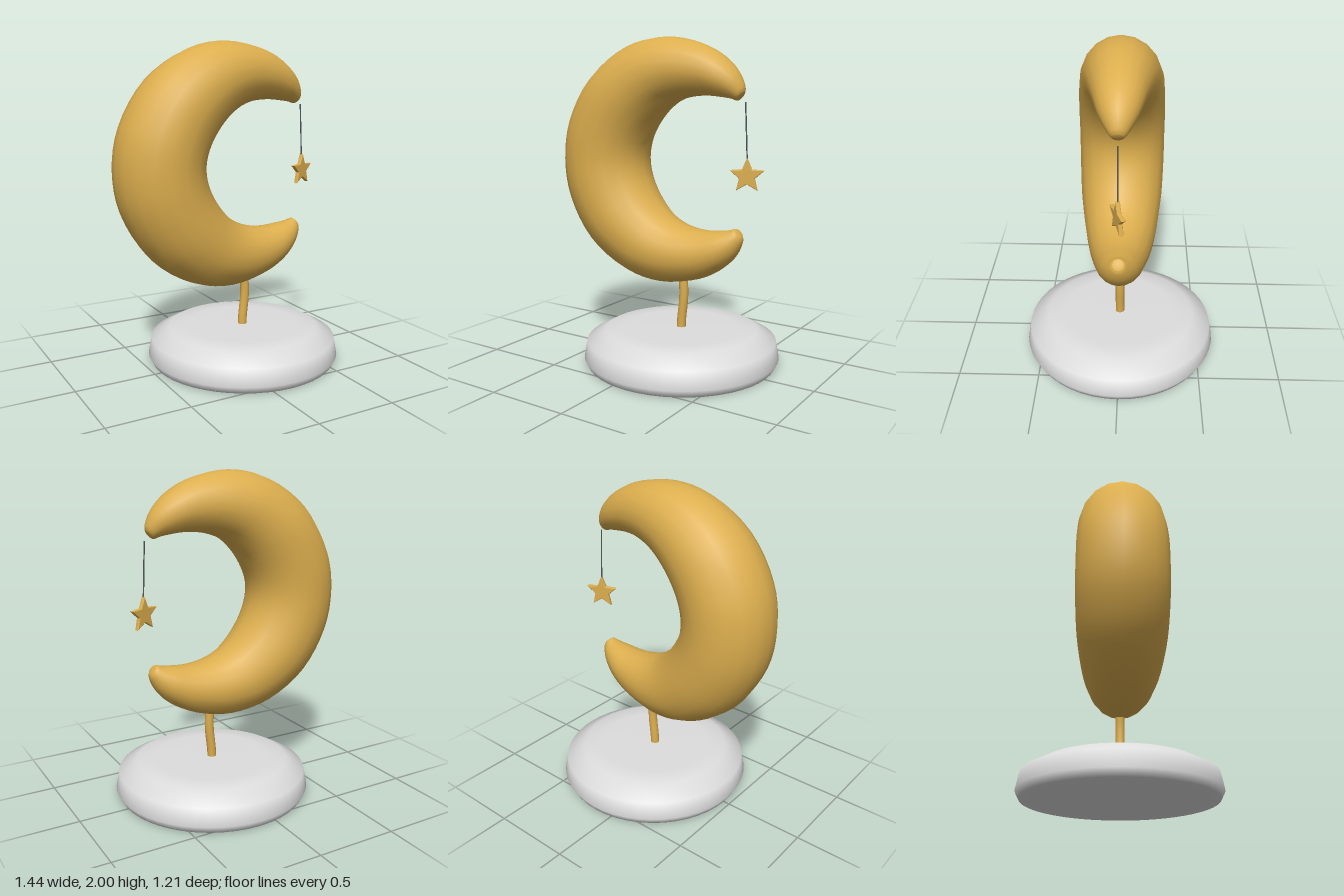
import * as THREE from 'three';

const gold = new THREE.MeshStandardMaterial({ color: 0xdcae4e });
gold.name = 'gold';
const white = new THREE.MeshStandardMaterial({ color: 0xdddddd });
white.name = 'stoneWhite';
const grey = new THREE.MeshStandardMaterial({ color: 0x555a60 });
grey.name = 'threadGrey';

const MID_Y = 1.25;

// Curve through the upper half points, then their mirror image below the middle
function mirroredCurve(half) {
  const lower = half.slice(0, -1).reverse().map(([x, y]) => [x, 2 * MID_Y - y]);
  return new THREE.CatmullRomCurve3([...half, ...lower].map(([x, y]) => new THREE.Vector3(x, y, 0)));
}

// Crescent: round sections spanning between an outer and an inner curve
function crescentGeometry(rings = 72, sides = 18) {
  const outer = mirroredCurve([
    [0.53, 1.67], [0.53, 1.70], [0.49, 1.785], [0.4, 1.874], [0.247, 1.955],
    [0, 2], [-0.247, 1.955], [-0.51, 1.78], [-0.678, 1.507], [-0.722, MID_Y],
  ]);
  const inner = mirroredCurve([
    [0.49, 1.622], [0.48, 1.622], [0.45, 1.632], [0.39, 1.641], [0.28, 1.65],
    [0.15, 1.635], [0.04, 1.59], [-0.07, 1.49], [-0.148, 1.36], [-0.17, MID_Y],
  ]);
  const pos = [], index = [];
  for (let i = 0; i <= rings; i++) {
    const o = outer.getPoint(i / rings), n = inner.getPoint(i / rings);
    const c = o.clone().add(n).multiplyScalar(0.5);
    const u = o.sub(c), r = u.length();
    for (let j = 0; j < sides; j++) {
      const a = (j / sides) * Math.PI * 2;
      pos.push(c.x + u.x * Math.cos(a), c.y + u.y * Math.cos(a), r * Math.sin(a));
      if (i < rings) {
        const k = (j + 1) % sides, p = i * sides, q = p + sides;
        index.push(p + j, q + j, p + k, q + j, q + k, p + k);
      }
    }
  }
  // Tip caps
  const top = pos.length / 3, last = rings * sides;
  pos.push(0.514, 1.643, 0, 0.514, 2 * MID_Y - 1.643, 0);
  for (let j = 0; j < sides; j++) {
    const k = (j + 1) % sides;
    index.push(top, j, k, top + 1, last + k, last + j);
  }
  const g = new THREE.BufferGeometry();
  g.setAttribute('position', new THREE.Float32BufferAttribute(pos, 3));
  g.setIndex(index);
  g.computeVertexNormals();
  return g;
}

// Five-pointed star with softened edges
function starGeometry() {
  const shape = new THREE.Shape();
  for (let i = 0; i < 10; i++) {
    const r = i % 2 ? 0.042 : 0.098, a = Math.PI / 2 + (i * Math.PI) / 5;
    shape[i ? 'lineTo' : 'moveTo'](r * Math.cos(a), r * Math.sin(a));
  }
  shape.closePath();
  const g = new THREE.ExtrudeGeometry(shape, {
    depth: 0.012, bevelThickness: 0.007, bevelSize: 0.005, bevelSegments: 2,
  });
  return g.translate(0, 0, -0.006);
}

function tube(points, radius, sides) {
  const curve = new THREE.CatmullRomCurve3(points.map(([x, y]) => new THREE.Vector3(x, y, 0)));
  return new THREE.TubeGeometry(curve, 16, radius, sides);
}

export function createModel() {
  const model = new THREE.Group();
  model.name = 'moonOrnament';
  const add = (name, geometry, material) => {
    const mesh = new THREE.Mesh(geometry, material);
    mesh.name = name;
    model.add(mesh);
    return mesh;
  };

  // Rounded pebble base
  const profile = [
    [0, 0], [0.5, 0.002], [0.582, 0.006], [0.605, 0.05], [0.585, 0.155],
    [0.47, 0.216], [0.35, 0.222], [0, 0.224],
  ].map(([r, y]) => new THREE.Vector2(r, y));
  add('base', new THREE.LatheGeometry(profile, 48), white).position.x = 0.118;

  // Bent stem
  add('stem', tube([[0.115, 0.2], [0.118, 0.27], [0.131, 0.39], [0.133, 0.46], [0.125, 0.56]], 0.028, 12), gold);

  add('crescentMoon', crescentGeometry(), gold);

  // Hanging star
  add('thread', tube([[0.54, 1.615], [0.548, 1.45], [0.556, 1.28]], 0.004, 6), grey);
  const star = add('star', starGeometry(), gold);
  star.position.set(0.556, 1.194, 0);
  star.rotation.y = 0.38;

  return model;
}
